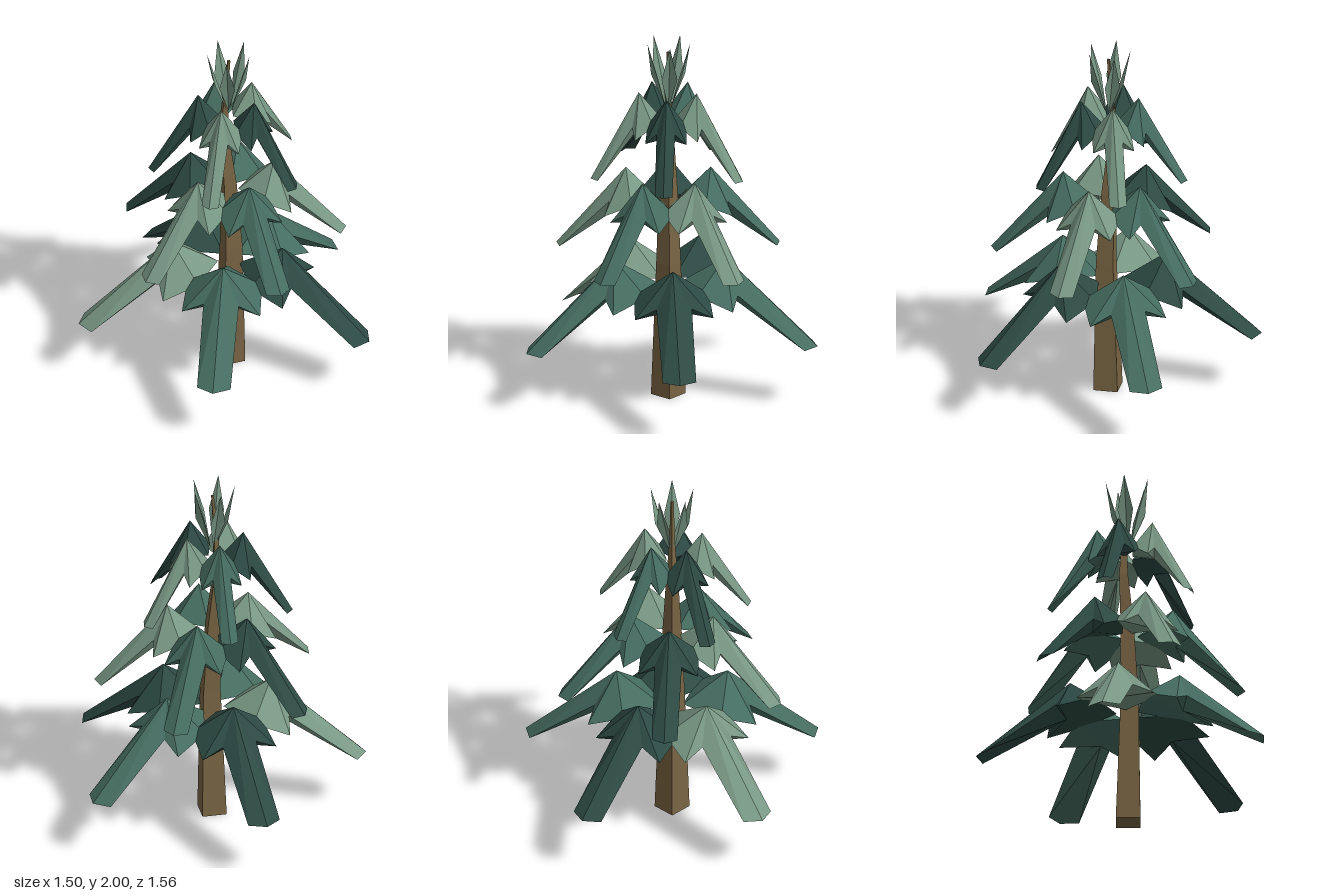
import * as THREE from 'three';

const green = (name, color) => {
  const m = new THREE.MeshStandardMaterial({ color, side: THREE.DoubleSide, flatShading: true });
  m.name = name;
  return m;
};

// Mirrors triangles given by named [out, up, side] points across the side = 0 plane.
function foldedGeometry(points, triangles) {
  const pos = [];
  for (const side of [1, -1]) {
    for (const tri of triangles) {
      const names = side > 0 ? [...tri] : [...tri].reverse();
      for (const n of names) {
        const [out, up, w] = points[n];
        pos.push(out, up, w * side);
      }
    }
  }
  const g = new THREE.BufferGeometry();
  g.setAttribute('position', new THREE.Float32BufferAttribute(pos, 3));
  g.computeVertexNormals();
  return g;
}

// Drooping bough: a barbed hood (I, A, C, B, M), a long ridged arm (T, E)
// and an underside folded along the keel point D.
function boughGeometry(s) {
  return foldedGeometry({
    I: [0.06 * s, 0.30, 0],
    A: [0.312 * s, 0.465, 0],
    T: [0.82 * s, 0, 0],
    C: [0.21 * s, 0.30, 0.20 * s],
    B: [0.405 * s, 0.23, 0.21 * s],
    M: [0.405 * s, 0.285, 0.095 * s],
    E: [0.77 * s, 0, 0.09 * s],
    D: [0.33 * s, 0.25, 0],
  }, ['ICA', 'ACB', 'ABM', 'AME', 'AET', 'IDC', 'CDB', 'DMB', 'DEM', 'DTE']);
}

export function createModel() {
  const tree = new THREE.Group();
  tree.name = 'conifer';

  const bark = new THREE.MeshStandardMaterial({ color: 0x786443, flatShading: true });
  bark.name = 'bark brown';
  const greens = [
    green('dark needle green', 0x2d4a43),
    green('mid needle green', 0x466d61),
    green('light needle green', 0x799885),
  ];

  // Trunk: square rings [y, centre x, radius], slightly bent
  const rings = [[0.005, -0.073, 0.093], [0.75, -0.062, 0.066], [1.15, -0.08, 0.05],
    [1.45, -0.108, 0.033], [1.7, -0.097, 0.015], [1.94, -0.076, 0.009]];
  const trunkGeo = new THREE.CylinderGeometry(1, 1, 1, 4, rings.length - 1);
  const p = trunkGeo.attributes.position;
  for (let i = 0; i < p.count; i++) {
    const [y, cx, r] = rings[Math.round((p.getY(i) + 0.5) * (rings.length - 1))];
    p.setXYZ(i, cx + p.getX(i) * r, y, p.getZ(i) * r);
  }
  const flatTrunk = trunkGeo.toNonIndexed();
  flatTrunk.computeVertexNormals();
  const trunk = new THREE.Mesh(flatTrunk, bark);
  trunk.name = 'trunk';
  tree.add(trunk);

  // Three tiers of five boughs, each tier turned and its greens shifted by one
  const tiers = [
    { name: 'lowerBoughs', y: 0.34, x: -0.075, scale: 1, turn: 0 },
    { name: 'middleBoughs', y: 0.80, x: -0.07, scale: 0.763, turn: 40 },
    { name: 'upperBoughs', y: 1.26, x: -0.078, scale: 0.522, turn: 80 },
  ];
  tiers.forEach((t, n) => {
    const tier = new THREE.Group();
    tier.name = t.name;
    tier.position.set(t.x, t.y, 0);
    const geo = boughGeometry(t.scale);
    for (let k = 0; k < 5; k++) {
      const bough = new THREE.Mesh(geo, greens[(k + n) % 3]);
      bough.name = 'bough';
      bough.rotation.y = -THREE.MathUtils.degToRad(t.turn + k * 72);
      tier.add(bough);
    }
    tree.add(tier);
  });

  // Crown of upright folded needles
  const crown = new THREE.Group();
  crown.name = 'crown';
  crown.position.x = -0.076;
  const needleGeo = foldedGeometry({
    R: [0.012, 1.62, 0],
    K: [0.06, 1.80, 0],
    S: [0.082, 1.81, 0.042],
    T: [0.12, 2.0, 0],
  }, ['RKS', 'KTS']);
  for (let k = 0; k < 5; k++) {
    const needle = new THREE.Mesh(needleGeo, greens[2]);
    needle.name = 'crownNeedle';
    needle.rotation.y = -THREE.MathUtils.degToRad(k * 72);
    crown.add(needle);
  }
  tree.add(crown);

  return tree;
}
